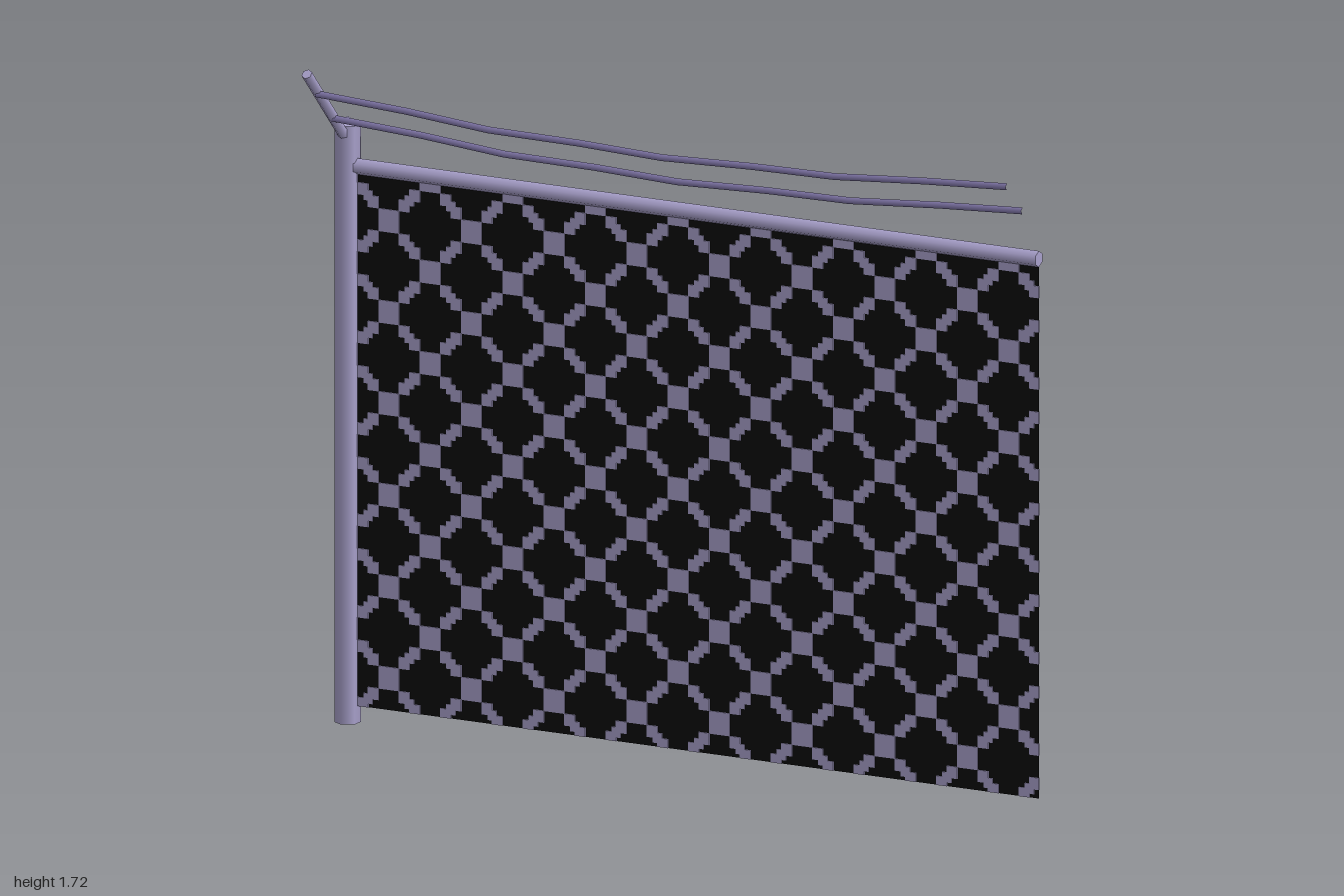
import * as THREE from 'three';
import { mergeGeometries } from 'three/addons/utils/BufferGeometryUtils.js';

const POST_X = -0.97, FENCE_Z = -0.096;
const LEFT = -0.97, RIGHT = 1, BOTTOM = 0.045, TOP = 1.434;

export function createModel() {
  const model = new THREE.Group();
  model.name = 'fenceSection';

  const material = (name, color, side = THREE.FrontSide) => {
    const m = new THREE.MeshStandardMaterial({ color, side });
    m.name = name;
    return m;
  };
  const metal = material('lavenderMetal', 0xa9a1cc);
  const wireMetal = material('wireMetal', 0x8076a8);
  const dark = material('darkMesh', 0x0b0c0c, THREE.DoubleSide);

  const add = (name, geometry, mat, x = 0, y = 0, z = 0) => {
    const mesh = new THREE.Mesh(geometry, mat);
    mesh.name = name;
    mesh.position.set(x, y, z);
    model.add(mesh);
    return mesh;
  };

  // Six-sided post with a low pointed cap
  add('post', new THREE.CylinderGeometry(0.033, 0.033, 1.54, 6), metal, POST_X, 0.77, FENCE_Z);
  add('postCap', new THREE.ConeGeometry(0.033, 0.02, 6), metal, POST_X, 1.55, FENCE_Z);

  // Top rail
  const railLength = RIGHT - POST_X;
  const rail = new THREE.CylinderGeometry(0.021, 0.021, railLength, 6, 1, false, Math.PI / 6);
  add('topRail', rail.rotateZ(Math.PI / 2), metal, (RIGHT + POST_X) / 2, TOP, FENCE_Z);

  // Slanted arm carrying the wires
  const armStart = new THREE.Vector3(POST_X, 1.507, -0.085);
  const armEnd = new THREE.Vector3(POST_X, 1.715, 0.115);
  const armDir = armEnd.clone().sub(armStart);
  const arm = add('wireArm', new THREE.CylinderGeometry(0.014, 0.014, armDir.length(), 6), metal);
  arm.position.copy(armStart).add(armEnd).multiplyScalar(0.5);
  arm.quaternion.setFromUnitVectors(new THREE.Vector3(0, 1, 0), armDir.normalize());

  // Two sagging wires that zigzag slightly in depth
  const addWire = (name, y, z) => {
    const points = [];
    for (let i = 0; i <= 8; i++) {
      const x = POST_X + (railLength * i) / 8;
      points.push(new THREE.Vector3(x, y + 0.046 * x * x, z - (i % 2) * 0.02));
    }
    const curve = new THREE.CatmullRomCurve3(points);
    add(name, new THREE.TubeGeometry(curve, 8, 0.009, 5), wireMetal);
  };
  addWire('lowerWire', 1.53, -0.014);
  addWire('upperWire', 1.61, 0.066);

  // Dark infill sheet
  const sheet = new THREE.PlaneGeometry(RIGHT - LEFT, TOP - BOTTOM);
  add('meshSheet', sheet, dark, (LEFT + RIGHT) / 2, (BOTTOM + TOP) / 2, FENCE_Z);

  // Stepped diamond lattice: thin squares, clipped to the sheet, seen on both sides
  const squares = [];
  const square = (cx, cy, size) => {
    const x0 = Math.max(cx - size / 2, LEFT), x1 = Math.min(cx + size / 2, RIGHT);
    const y0 = Math.max(cy - size / 2, BOTTOM), y1 = Math.min(cy + size / 2, TOP);
    if (x1 - x0 < 0.001 || y1 - y0 < 0.001) return;
    squares.push(new THREE.BoxGeometry(x1 - x0, y1 - y0, 0.006)
      .translate((x0 + x1) / 2, (y0 + y1) / 2, 0));
  };
  const step = 0.1178, cell = step / 4;
  for (let i = -9; i <= 9; i++) {
    for (let j = -11; j <= 3; j++) {
      if ((i + j) % 2 !== 0) continue;
      const x = -0.027 + i * step, y = 1.187 + j * step;
      square(x, y, cell * 2);
      // Links rising to the next knot on either side
      for (const s of [-1, 1]) {
        for (const [d, size] of [[1.5, 1.05], [2, 0.9], [2.5, 1.05]]) {
          square(x + s * d * cell, y + d * cell, size * cell);
        }
      }
    }
  }
  add('meshLattice', mergeGeometries(squares), metal, 0, 0, FENCE_Z);

  return model;
}
